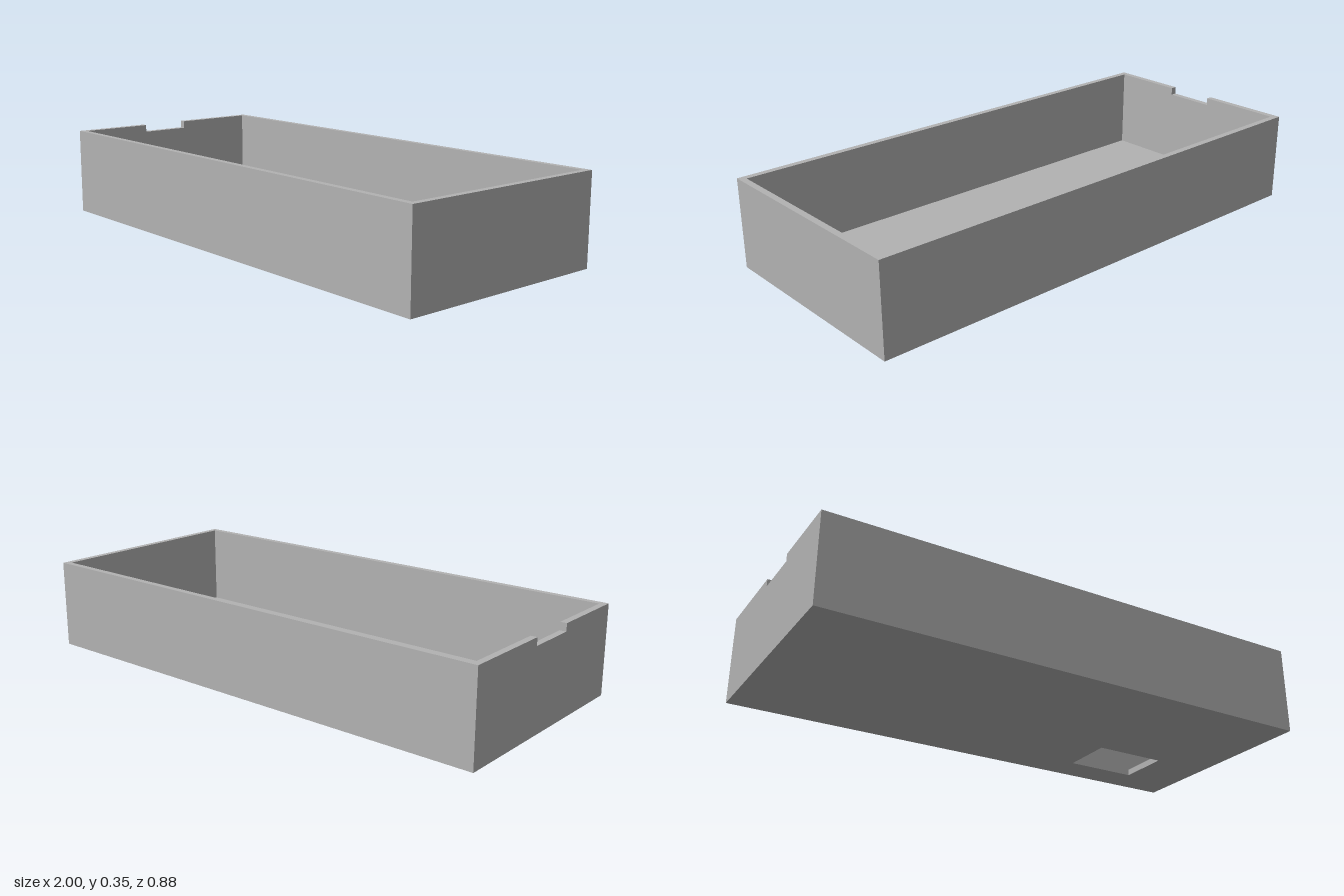
import * as THREE from 'three';

const X = 1, Z = 0.44, H = 0.352;     // outer half width, half depth, height
const T = 0.025;                      // wall and floor thickness
const XI = X - T, ZI = Z - T;         // inner half sizes
const NOTCH = { z0: -0.08, z1: 0.122, depth: 0.03 };
const BOTTOM = -1, SIDES = 0, TOP = 1;

// Rectangle in plan; shape y is -z
function rect(x0, x1, z0, z1, Type = THREE.Shape) {
  return new Type([[x0, -z1], [x1, -z1], [x1, -z0], [x0, -z0]].map(p => new THREE.Vector2(...p)));
}

// Upright extrusion from y0 to y1 that keeps only the wanted faces, so joints have no hidden walls
function slab(shape, y0, y1, keep) {
  const source = new THREE.ExtrudeGeometry(shape, { depth: y1 - y0, bevelEnabled: false });
  source.rotateX(-Math.PI / 2).translate(0, y0, 0);
  const p = source.attributes.position, n = source.attributes.normal;
  const positions = [], normals = [];
  for (let i = 0; i < p.count; i += 3) {
    if (!keep.includes(Math.round(n.getY(i)) + 0)) continue;
    for (let j = i; j < i + 3; j++) {
      positions.push(p.getX(j), p.getY(j), p.getZ(j));
      normals.push(n.getX(j), n.getY(j), n.getZ(j));
    }
  }
  const geometry = new THREE.BufferGeometry();
  geometry.setAttribute('position', new THREE.Float32BufferAttribute(positions, 3));
  geometry.setAttribute('normal', new THREE.Float32BufferAttribute(normals, 3));
  return geometry;
}

export function createModel() {
  const model = new THREE.Group();
  model.name = 'openTray';
  const grey = new THREE.MeshStandardMaterial({ color: 0xb2b2b2 });
  grey.name = 'grey';
  const add = (name, geometry) => {
    const mesh = new THREE.Mesh(geometry, grey);
    mesh.name = name;
    model.add(mesh);
  };
  const sillY = H - NOTCH.depth;
  const cutout = () => rect(0.465, 0.76, -0.308, -0.095, THREE.Path);

  // Floor with a rectangular cutout
  const base = rect(-X, X, -Z, Z);
  base.holes.push(cutout());
  add('floorPlate', slab(base, 0, T, [BOTTOM, SIDES]));
  const inside = rect(-XI, XI, -ZI, ZI);
  inside.holes.push(cutout());
  add('floorInside', slab(inside, 0, T, [TOP]));

  // Closed ring of walls up to the notch sill
  const ring = rect(-X, X, -Z, Z);
  ring.holes.push(rect(-XI, XI, -ZI, ZI, THREE.Path));
  add('walls', slab(ring, T, sillY, [SIDES]));
  add('notchSill', slab(rect(-X, -XI, NOTCH.z0, NOTCH.z1), T, sillY, [TOP]));

  // Top of the walls, left open at the notch
  const rim = new THREE.Shape([
    [-X, -NOTCH.z0], [-X, Z], [X, Z], [X, -Z], [-X, -Z], [-X, -NOTCH.z1],
    [-XI, -NOTCH.z1], [-XI, -ZI], [XI, -ZI], [XI, ZI], [-XI, ZI], [-XI, -NOTCH.z0],
  ].map(p => new THREE.Vector2(...p)));
  add('rim', slab(rim, sillY, H, [SIDES, TOP]));

  return model;
}
